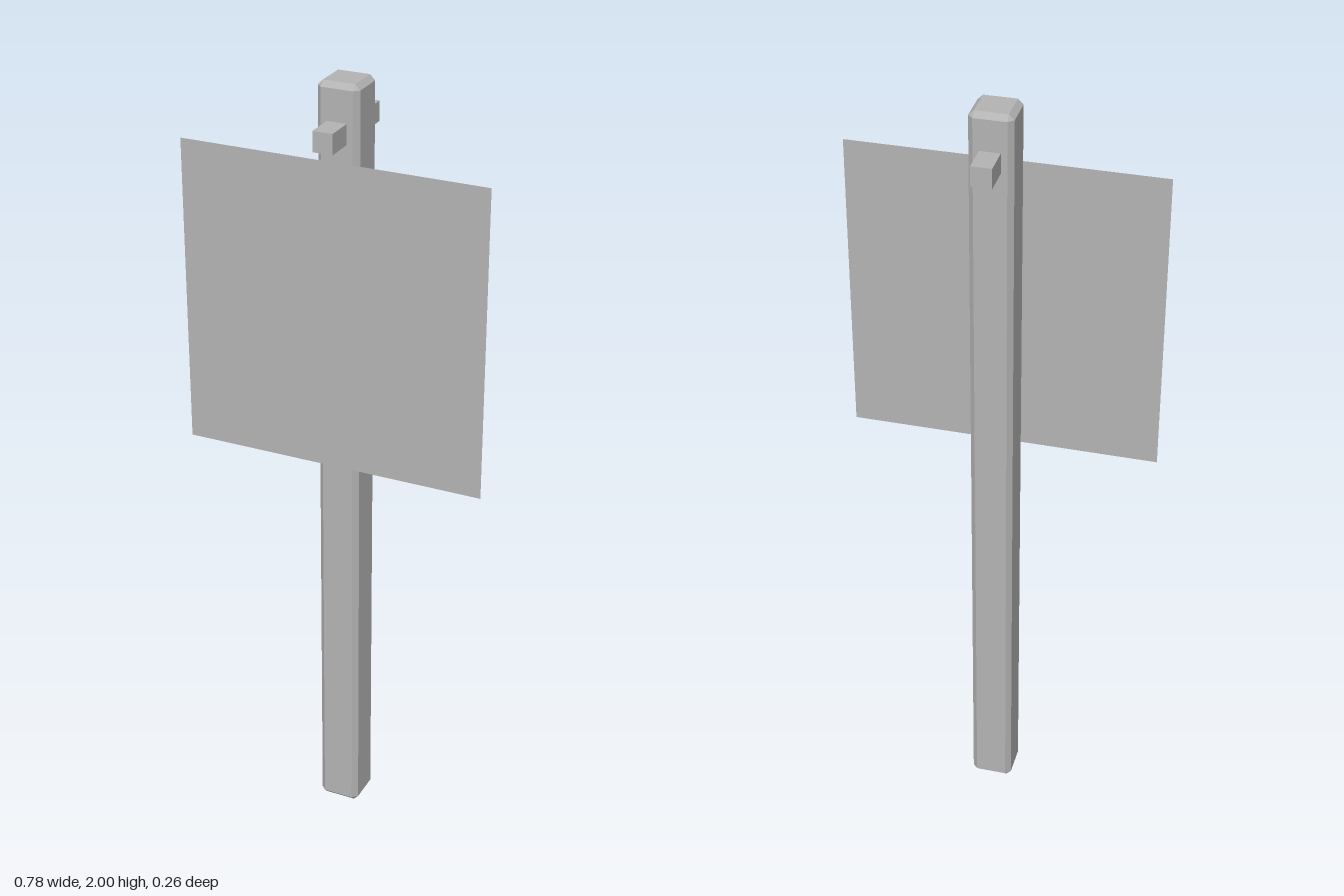
import * as THREE from 'three';
import { ConvexGeometry } from 'three/addons/geometries/ConvexGeometry.js';

// Box with every edge chamfered: each corner is cut into three points
function chamferedBox(w, h, d, c) {
  const points = [];
  for (const sx of [-1, 1]) for (const sy of [-1, 1]) for (const sz of [-1, 1]) {
    for (const [ix, iy, iz] of [[0, c, c], [c, 0, c], [c, c, 0]]) {
      points.push(new THREE.Vector3(sx * (w / 2 - ix), sy * (h / 2 - iy), sz * (d / 2 - iz)));
    }
  }
  return new ConvexGeometry(points);
}

export function createModel() {
  const model = new THREE.Group();
  model.name = 'signPost';

  const grey = new THREE.MeshStandardMaterial({ color: 0xb3b3b3, side: THREE.DoubleSide });
  grey.name = 'grey';

  const add = (name, geometry, x, y, z) => {
    const mesh = new THREE.Mesh(geometry, grey);
    mesh.name = name;
    mesh.position.set(x, y, z);
    model.add(mesh);
  };

  // Upright with chamfered edges
  add('post', chamferedBox(0.106, 2, 0.106, 0.013), 0, 1, 0);

  // Peg running through the post from front to back
  add('peg', new THREE.BoxGeometry(0.05, 0.05, 0.256), 0, 1.884, 0);

  // Thin sheet hanging just in front of the post
  add('panel', new THREE.PlaneGeometry(0.78, 0.785), 0, 1.432, 0.083);

  return model;
}
